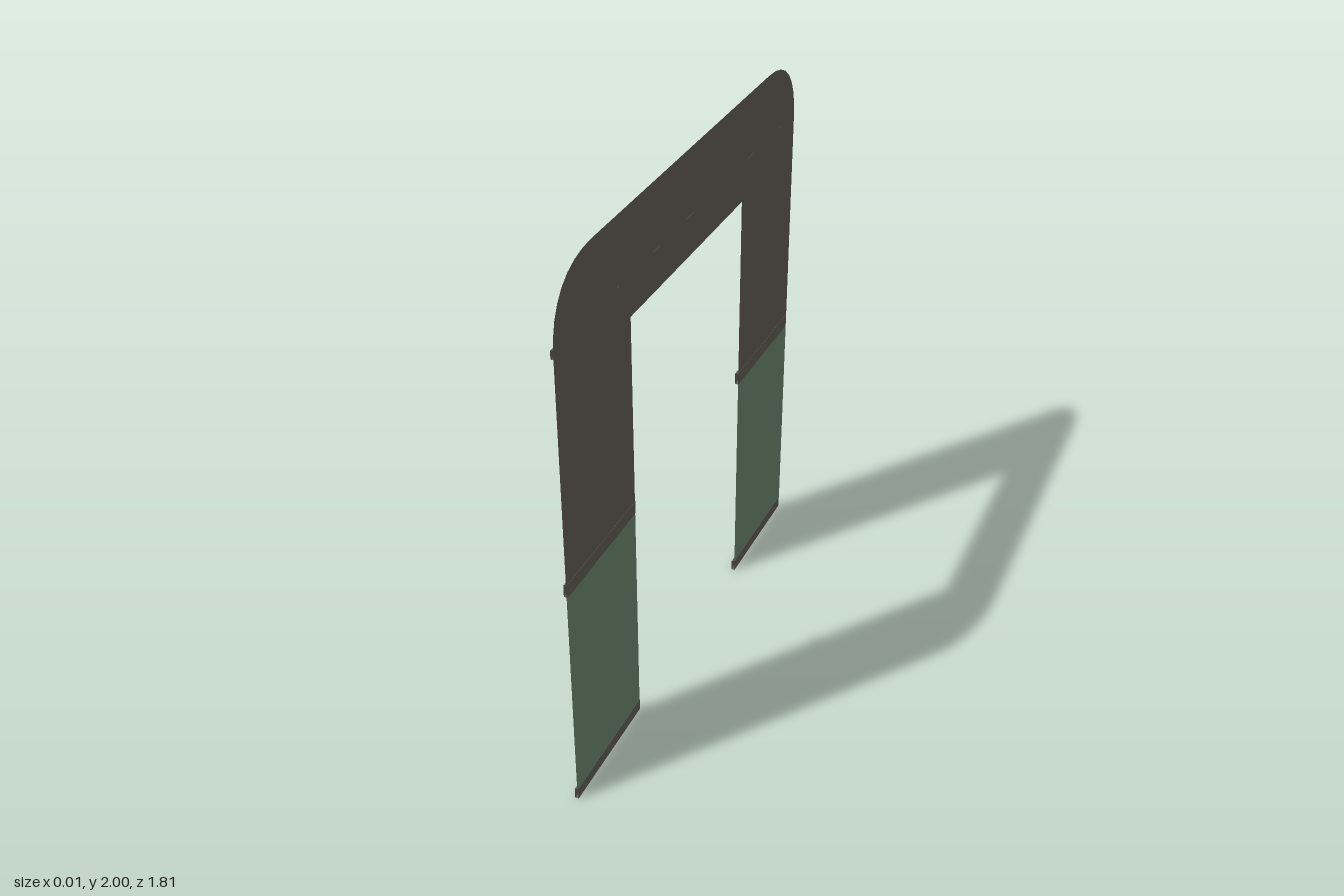
import * as THREE from 'three';

export function createModel() {
  const brown = new THREE.MeshStandardMaterial({ color: 0x5a544d, side: THREE.DoubleSide });
  brown.name = 'warm grey';
  const green = new THREE.MeshStandardMaterial({ color: 0x637c63, side: THREE.DoubleSide });
  green.name = 'muted green';
  const group = new THREE.Group();
  const SHEET_X = 0.0058, FRONT_X = 0.007, BACK_X = -0.0065, OUT = 0.905, IN = 0.43;

  const add = (name, geometry, material, x, y, z) => {
    const mesh = new THREE.Mesh(geometry, material);
    mesh.name = name;
    mesh.position.set(x, y, z);
    group.add(mesh);
  };

  // Open-ended rail running along z, its top sloping down to the back
  const rail = (name, frontX, y0, y1, z0, z1) => {
    const g = new THREE.BoxGeometry(frontX - BACK_X, y1 - y0, z1 - z0);
    g.setIndex(Array.from(g.index.array).slice(0, 24)); // drop both end caps
    g.clearGroups();
    const p = g.attributes.position;
    for (let i = 0; i < p.count; i++) {
      if (p.getX(i) < 0 && p.getY(i) > 0) p.setY(i, p.getY(i) - 0.005);
    }
    g.computeVertexNormals();
    add(name, g, brown, (frontX + BACK_X) / 2, (y0 + y1) / 2, (z0 + z1) / 2);
  };

  // Upper arch sheet with full, rounded top corners
  const r = 0.25, k = r * 0.36;
  const arch = new THREE.Shape();
  arch.moveTo(IN, 0.88);
  arch.lineTo(OUT, 0.88);
  arch.lineTo(OUT, 2 - r);
  arch.bezierCurveTo(OUT, 2 - k, OUT - k, 2, OUT - r, 2);
  arch.lineTo(-OUT + r, 2);
  arch.bezierCurveTo(-OUT + k, 2, -OUT, 2 - k, -OUT, 2 - r);
  arch.lineTo(-OUT, 0.88);
  arch.lineTo(-IN, 0.88);
  arch.lineTo(-IN, 1.625);
  arch.lineTo(IN, 1.625);
  arch.closePath();
  add('archSheet', new THREE.ShapeGeometry(arch, 8).rotateY(Math.PI / 2), brown, SHEET_X, 0, 0);

  // Rail across the back of the arch, and the clips that pass through the sheet
  rail('topRail', SHEET_X - 0.0005, 1.735, 1.768, -0.9, 0.9);
  for (let i = 0; i < 7; i++) {
    const z = 0.74 - i * 0.247;
    rail('clip', FRONT_X, 1.735, 1.768, z - 0.025, z + 0.025);
  }

  // Legs: green lower sheet, joint rail and foot rail
  for (const s of [1, -1]) {
    const side = s > 0 ? 'front' : 'rear';
    const a = s > 0 ? IN : -0.9, b = s > 0 ? 0.9 : -IN;
    add(side + 'LegSheet', new THREE.PlaneGeometry(OUT - IN, 0.84).rotateY(Math.PI / 2),
      green, SHEET_X, 0.46, s * (OUT + IN) / 2);
    rail(side + 'JointRail', FRONT_X, 0.88, 0.93, a, b);
    rail(side + 'FootRail', FRONT_X, 0, 0.045, a, b);
  }
  return group;
}
